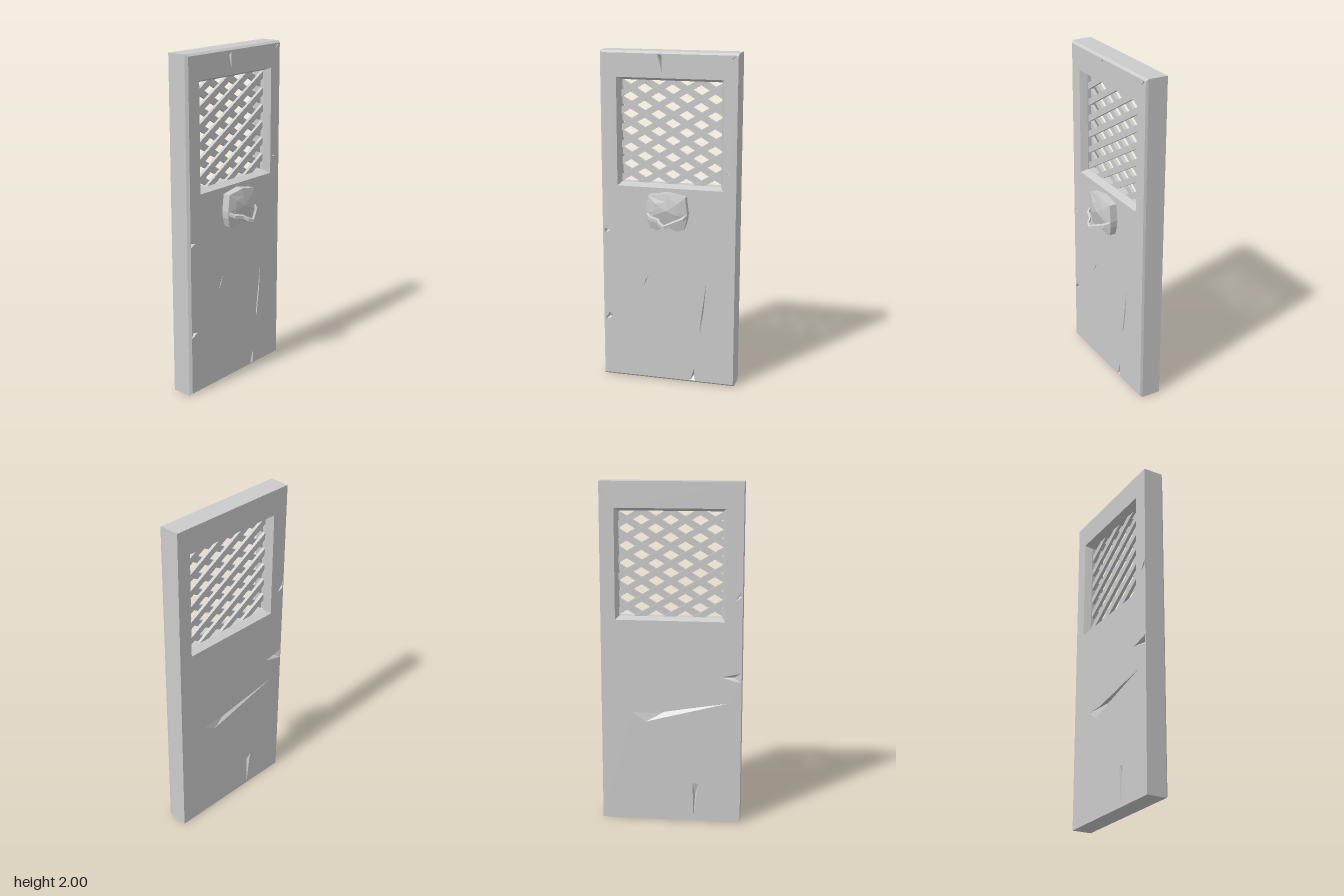
import * as THREE from 'three';

const DEPTH = 0.132;
const material = new THREE.MeshStandardMaterial({ color: 0xcccccc, flatShading: true, side: THREE.DoubleSide });

const rect = (x0, x1, y0, y1, z = 0) => [[x0, y0, z], [x1, y0, z], [x1, y1, z], [x0, y1, z]];
const toV2 = (pts) => pts.map(([x, y]) => new THREE.Vector2(x, y));

function addMesh(parent, name, geometry) {
  const mesh = new THREE.Mesh(geometry, material);
  mesh.name = name;
  parent.add(mesh);
  return mesh;
}

// Faceted walls joining successive rings of equal length
function loft(rings) {
  const pos = [];
  for (let r = 0; r < rings.length - 1; r++) {
    const a = rings[r], b = rings[r + 1], n = a.length;
    for (let i = 0; i < n; i++) {
      const j = (i + 1) % n;
      pos.push(...a[i], ...b[i], ...b[j], ...a[i], ...b[j], ...a[j]);
    }
  }
  const g = new THREE.BufferGeometry();
  g.setAttribute('position', new THREE.Float32BufferAttribute(pos, 3));
  g.computeVertexNormals();
  return g;
}

// Flat face with the window cut out and sunken, pointed gouges
function panel(name, outline, windowRing, gouges) {
  const group = new THREE.Group();
  group.name = name;
  const shape = new THREE.Shape(toV2(outline));
  for (const hole of [windowRing, ...gouges]) shape.holes.push(new THREE.Path(toV2(hole)));
  addMesh(group, name + 'Surface', new THREE.ShapeGeometry(shape));
  for (const g of gouges) {
    const ring = g.map(([x, y]) => [x, y, 0]);
    if (THREE.ShapeUtils.isClockWise(toV2(ring))) ring.reverse();
    const cx = ring.reduce((s, p) => s + p[0], 0) / ring.length;
    const cy = ring.reduce((s, p) => s + p[1], 0) / ring.length;
    addMesh(group, 'gouge', loft([ring.map(() => [cx, cy, -0.022]), ring]));
  }
  return group;
}

function makeDoor() {
  const door = new THREE.Group();
  door.name = 'door';
  const front = rect(-0.396, 0.405, 0.012, 1.988);
  const win = (z, inset = 0) => rect(-0.31 + inset, 0.325 - inset, 1.21 + inset, 1.85 - inset, z);

  door.add(panel('frontFace', front, win(0), [
    [[-0.064, 1.982], [-0.037, 1.982], [-0.036, 1.88]],
    [[0.235, 0.655], [0.225, 0.5], [0.2, 0.31], [0.195, 0.35]],
    [[0.165, 0.1], [0.17, 0.016], [0.14, 0.016]],
    [[-0.12, 0.67], [-0.143, 0.63], [-0.15, 0.6]],
    [[-0.394, 0.945], [-0.355, 0.93], [-0.394, 0.915]],
    [[-0.394, 0.37], [-0.37, 0.41], [-0.345, 0.385], [-0.394, 0.357]],
    [[0.345, 1.317], [0.37, 1.312], [0.345, 1.309]],
    [[0.385, 1.985], [0.36, 1.955], [0.39, 1.98]],
  ]));

  // Back face is laid out with x mirrored, then turned round
  const mirrorX = (pts) => pts.map(([x, y]) => [-x, y]);
  const back = panel('backFace', rect(-0.41, 0.41, 0, 2), mirrorX(win(0)), [
    [[0.233, 0.66], [0.15, 0.605], [-0.33, 0.73], [0.1, 0.66]],
    [[-0.128, 0.235], [-0.162, 0.23], [-0.135, 0.012]],
    [[-0.284, 0.885], [-0.405, 0.91], [-0.405, 0.855]],
    [[-0.366, 1.33], [-0.405, 1.39], [-0.405, 1.355]],
  ].map(mirrorX));
  back.rotation.y = Math.PI;
  back.position.z = -DEPTH;
  door.add(back);

  // Bevelled front edge and sides
  addMesh(door, 'doorSides', loft([front, rect(-0.41, 0.41, 0, 2, -0.014), rect(-0.41, 0.41, 0, 2, -DEPTH)]));
  // Window reveal narrows towards the lattice
  addMesh(door, 'windowReveal', loft([win(-DEPTH), win(-0.09, 0.017), win(-0.042, 0.017), win(0)]));
  return door;
}

// Two crossing layers of diagonal slats
function makeLattice() {
  const lattice = new THREE.Group();
  lattice.name = 'windowLattice';
  const [x0, x1, y0, y1] = [-0.32, 0.335, 1.2, 1.86];
  for (const side of [-1, 1]) {
    const slope = side * 0.592;
    for (let k = -14; k < 14; k++) {
      const c = 1.78 + (k + 0.5) * 0.1 - slope * 0.01;
      const xa = (y0 - c) / slope, xb = (y1 - c) / slope;
      const from = Math.max(x0, Math.min(xa, xb)), to = Math.min(x1, Math.max(xa, xb));
      if (to - from < 0.02) continue;
      const length = (to - from) * Math.hypot(1, slope);
      const slat = addMesh(lattice, 'slat', new THREE.BoxGeometry(length, 0.036, 0.02));
      const mid = (from + to) / 2;
      slat.position.set(mid, slope * mid + c, -0.066 + side * 0.009);
      slat.rotation.z = Math.atan(slope);
    }
  }
  return lattice;
}

// Faceted boss with a bent pull hanging in front
function makeHandle() {
  const handle = new THREE.Group();
  handle.name = 'handle';
  const half = [[-0.11, 1.17, 0.045], [-0.122, 1.07, 0.046], [-0.118, 1.03, 0.042],
    [-0.1, 0.975, 0.036], [-0.06, 0.962, 0.036]];
  const rim = [[0.003, 1.19, 0.052], ...half, [0.003, 0.985, 0.04],
    ...half.slice().reverse().map(([x, y, z]) => [-x + 0.004, y, z])];
  const ridge = rim.map(([x, y]) => [x * 0.58, Math.max(1.06, 1.09 + (y - 1.09) * 0.5), 0.06]);
  const apex = rim.map(() => [0.003, 1.09, 0.068]);
  const base = rim.map(([x, y]) => [x, y, -0.005]);
  addMesh(handle, 'handleBoss', loft([apex, ridge, rim, base]));

  // Pull: rectangular section swept along a bent path
  const path = [[-0.114, 1.06, 0.045], [-0.094, 1.045, 0.072], [-0.04, 1.035, 0.088], [-0.02, 1.018, 0.112],
    [0.008, 1.008, 0.123], [0.04, 1.02, 0.106], [0.08, 1.035, 0.083], [0.105, 1.046, 0.07], [0.121, 1.06, 0.045]];
  const sections = path.map(([x, y, z], i) => {
    const a = path[Math.max(i - 1, 0)], b = path[Math.min(i + 1, path.length - 1)];
    const len = Math.hypot(b[0] - a[0], b[2] - a[2]);
    const nx = -(b[2] - a[2]) / len * 0.006, nz = (b[0] - a[0]) / len * 0.006;
    return [[x - nx, y + 0.012, z - nz], [x + nx, y + 0.006, z + nz],
      [x + nx, y - 0.012, z + nz], [x - nx, y - 0.008, z - nz]];
  });
  const cap = (s) => s.map(() => [0, 1, 2].map((k) => s.reduce((t, p) => t + p[k] / s.length, 0)));
  addMesh(handle, 'handlePull', loft([cap(sections[0]), ...sections, cap(sections.at(-1))]));
  return handle;
}

export function createModel() {
  const model = new THREE.Group();
  model.name = 'cellDoor';
  model.add(makeDoor(), makeLattice(), makeHandle());
  return model;
}
